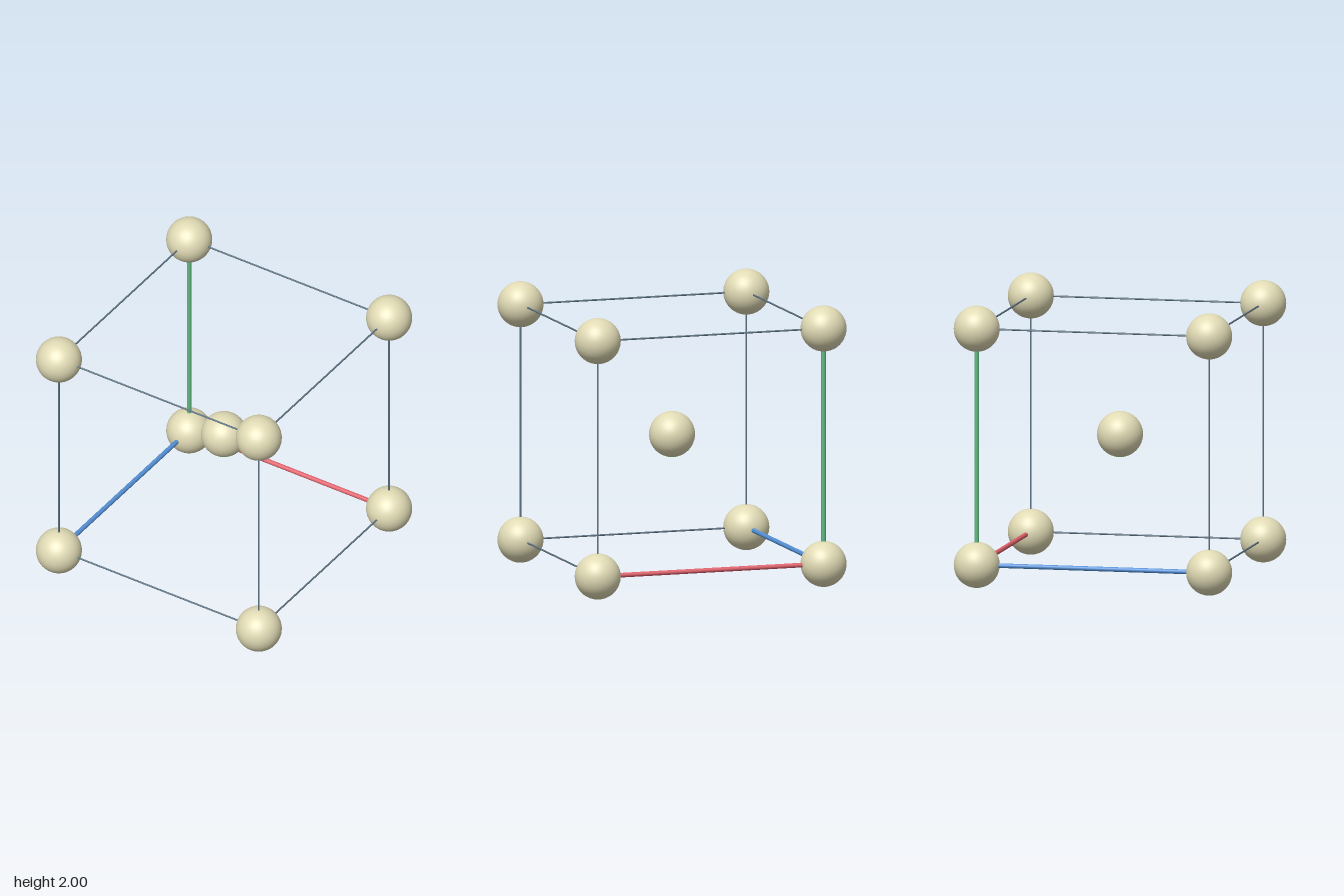
import * as THREE from 'three';

const H = 0.838; // half the cell edge
const R = 0.162; // atom radius

function mat(name, color) {
  const m = new THREE.MeshStandardMaterial({ color });
  m.name = name;
  return m;
}

export function createModel() {
  const model = new THREE.Group();
  model.name = 'cubicLattice';
  const atomMat = mat('pale khaki', 0xe0dab4);
  const edgeMat = mat('slate', 0x5c7282);
  const axisMats = [mat('axis red', 0xe0626c), mat('axis green', 0x60b880), mat('axis blue', 0x5490d6)];
  const axisNames = ['xAxisRod', 'yAxisRod', 'zAxisRod'];

  // Atoms: eight corners and the body centre
  const sphere = new THREE.SphereGeometry(R, 40, 28);
  const addAtom = (name, x, y, z) => {
    const atom = new THREE.Mesh(sphere, atomMat);
    atom.name = name;
    atom.position.set(x, y + 1, z);
    model.add(atom);
  };
  for (const x of [-H, H]) for (const y of [-H, H]) for (const z of [-H, H]) addAtom('cornerAtom', x, y, z);
  addAtom('centreAtom', 0, 0, 0);

  // Cell edges: thin rods, with three thicker coloured ones from the origin corner
  const thin = new THREE.CylinderGeometry(0.0063, 0.0063, 2 * H, 12);
  const thick = new THREE.CylinderGeometry(0.0165, 0.0165, 2 * H, 20);
  for (let axis = 0; axis < 3; axis++) {
    for (const a of [-H, H]) for (const b of [-H, H]) {
      const isAxis = a < 0 && b < 0;
      const rod = new THREE.Mesh(isAxis ? thick : thin, isAxis ? axisMats[axis] : edgeMat);
      rod.name = isAxis ? axisNames[axis] : 'cellEdge';
      const p = [0, 0, 0];
      p[(axis + 1) % 3] = a;
      p[(axis + 2) % 3] = b;
      rod.position.set(p[0], p[1] + 1, p[2]);
      if (axis === 0) rod.rotation.z = Math.PI / 2;
      if (axis === 2) rod.rotation.x = Math.PI / 2;
      model.add(rod);
    }
  }
  return model;
}
